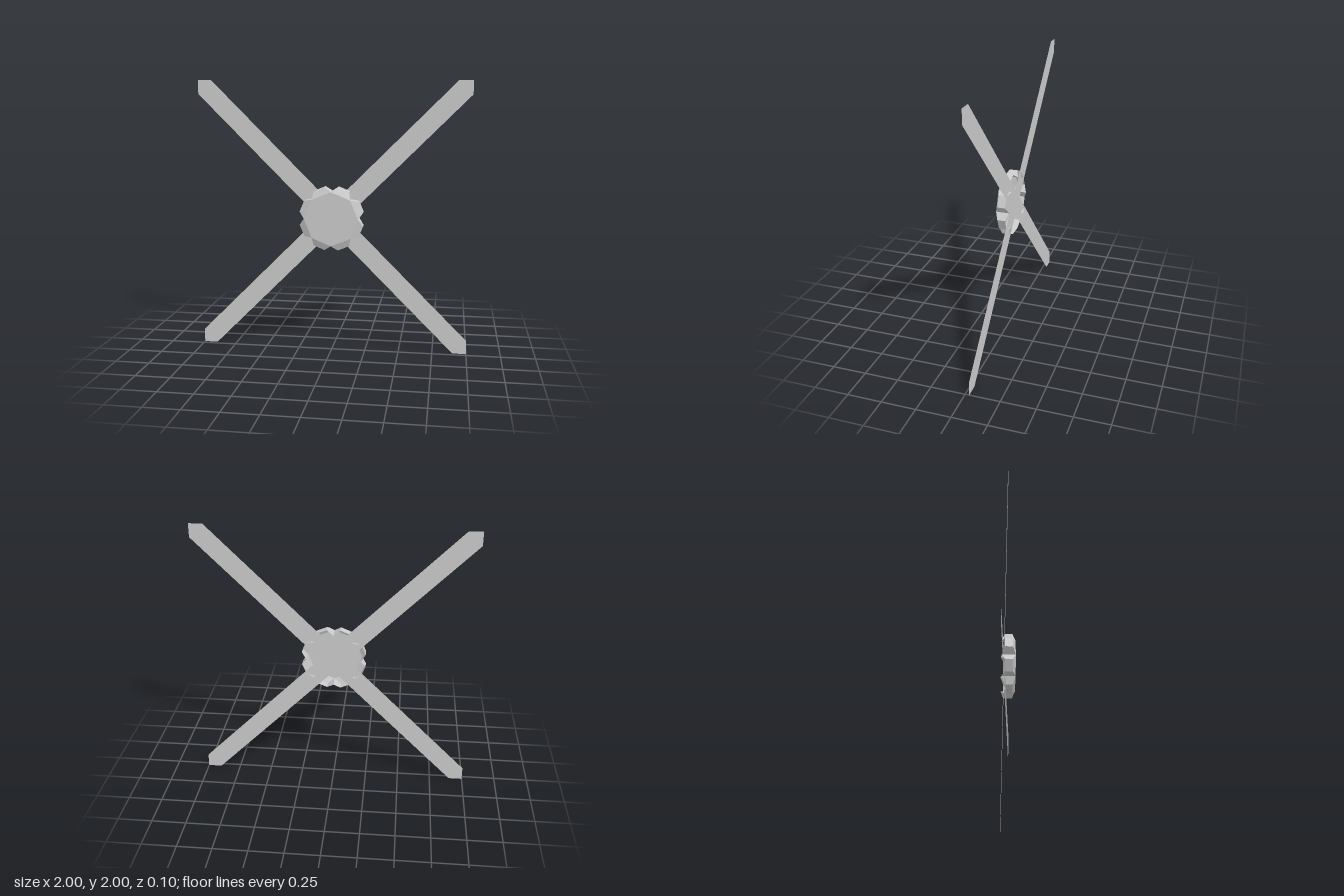
import * as THREE from 'three';

const CENTRE_Y = 1;
const SIDES = 8;
const HUB_R = 0.2;
const HUB_Z = 0.05; // half depth of the hub

const material = new THREE.MeshStandardMaterial({
  color: 0xcccccc, flatShading: true, side: THREE.DoubleSide,
});

function named(name, geometry) {
  const mesh = new THREE.Mesh(geometry, material);
  mesh.name = name;
  return mesh;
}

// Flat diagonal cross whose arm ends are trimmed to a square
function crossGeometry() {
  const points = [];
  const quarter = [[0.1, 0], [1, 0.9], [1, 1], [0.9, 1]];
  for (let i = 0; i < 4; i++) {
    for (const [x, y] of quarter) {
      points.push(new THREE.Vector2(x, y).rotateAround(new THREE.Vector2(), i * Math.PI / 2));
    }
  }
  return new THREE.ShapeGeometry(new THREE.Shape(points));
}

// Tapered block pointing along +x, hollow and open at the root and the back
function petalGeometry() {
  const ring = (x, w, d) => [[x, -w, d], [x, w, d], [x, w, -d], [x, -w, -d]];
  const root = ring(HUB_R * Math.cos(Math.PI / SIDES), HUB_R * Math.sin(Math.PI / SIDES), HUB_Z);
  const tip = ring(0.235, 0.044, 0.029);
  const quads = [
    [root[0], tip[0], tip[1], root[1]], // front slope
    [root[1], tip[1], tip[2], root[2]], // side
    [root[3], tip[3], tip[0], root[0]], // other side
    [tip[0], tip[3], tip[2], tip[1]],   // end
  ];
  const positions = quads.flatMap(([a, b, c, d]) => [a, b, c, a, c, d]).flat();
  const geometry = new THREE.BufferGeometry();
  geometry.setAttribute('position', new THREE.Float32BufferAttribute(positions, 3));
  geometry.computeVertexNormals();
  return geometry;
}

export function createModel() {
  const model = new THREE.Group();
  model.name = 'crossWithHub';

  const cross = named('crossArms', crossGeometry());
  cross.position.set(0, CENTRE_Y, -0.03);
  model.add(cross);

  const hub = new THREE.Group();
  hub.name = 'hub';
  hub.position.y = CENTRE_Y;
  model.add(hub);

  // Octagonal front plate
  const plate = named('hubPlate', new THREE.CircleGeometry(HUB_R, SIDES));
  plate.position.z = HUB_Z;
  hub.add(plate);

  // Ring of petals, one on each side of the plate
  const petal = petalGeometry();
  for (let i = 0; i < SIDES; i++) {
    const mesh = named('hubPetal', petal);
    mesh.rotation.z = (i + 0.5) * 2 * Math.PI / SIDES;
    hub.add(mesh);
  }
  return model;
}
